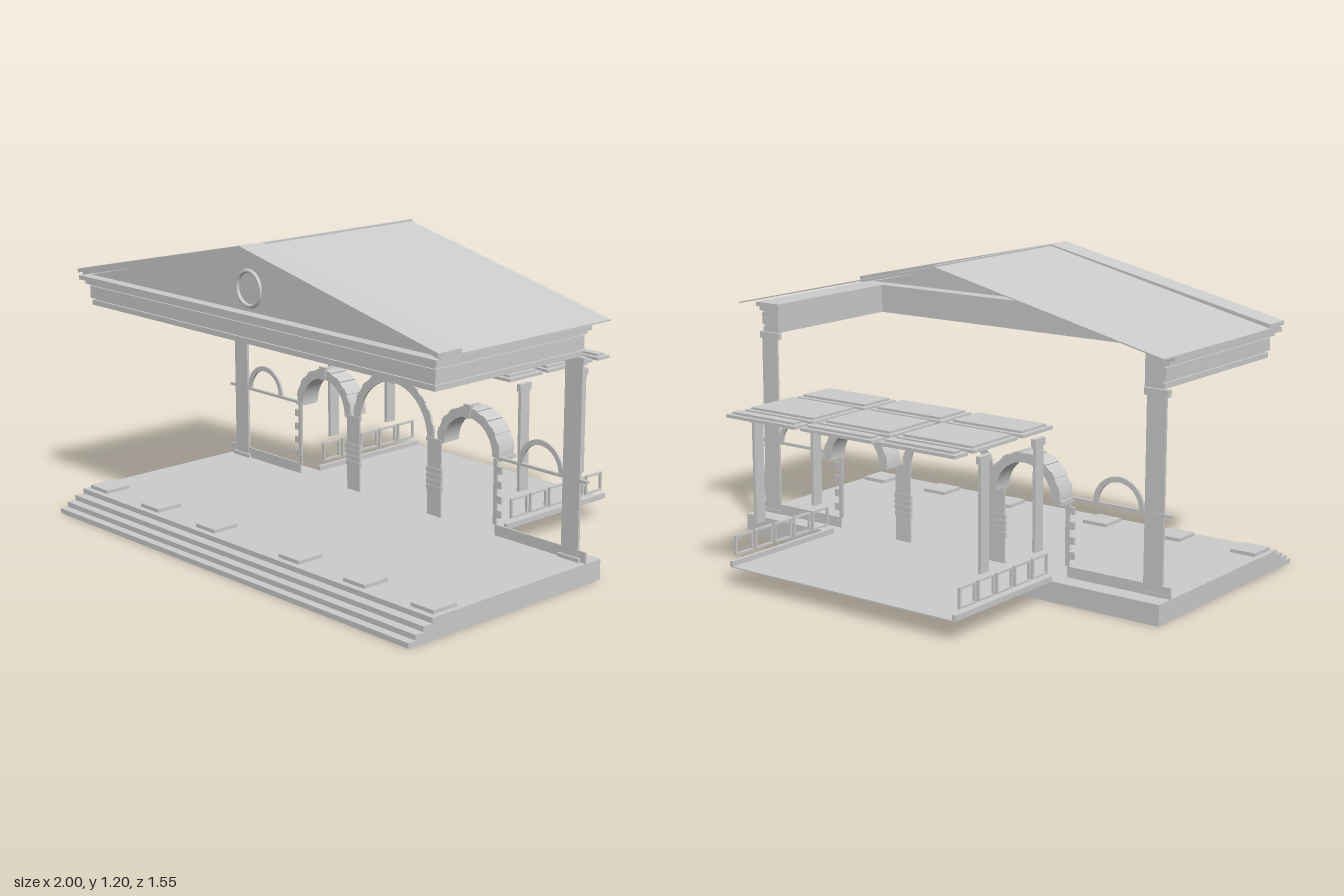
import * as THREE from 'three';

export function createModel() {
  const root = new THREE.Group();
  root.name = 'portico';
  const stone = new THREE.MeshStandardMaterial({ color: 0xcccccc, side: THREE.DoubleSide });
  stone.name = 'paleStone';

  const add = (name, geo, x = 0, y = 0, z = 0) => {
    const m = new THREE.Mesh(geo, stone);
    m.name = name;
    m.position.set(x, y, z);
    root.add(m);
    return m;
  };
  // Box given by its extents
  const box = (name, x0, x1, y0, y1, z0, z1) =>
    add(name, new THREE.BoxGeometry(Math.abs(x1 - x0), y1 - y0, z1 - z0), (x0 + x1) / 2, (y0 + y1) / 2, (z0 + z1) / 2);
  const both = (fn) => [-1, 1].forEach(fn);
  // Outline in x,y pushed along z
  const extrude = (name, pts, z0, z1) =>
    add(name, new THREE.ExtrudeGeometry(new THREE.Shape(pts.map((p) => new THREE.Vector2(...p))),
      { depth: z1 - z0, bevelEnabled: false }), 0, 0, z0);
  // Piece of a ring between two angles
  const ringPiece = (name, cx, cy, r0, r1, a0, a1, z0, z1, segs = 4) => {
    const s = new THREE.Shape();
    s.absarc(0, 0, r1, a0, a1, false);
    s.absarc(0, 0, r0, a1, a0, true);
    return add(name, new THREE.ExtrudeGeometry(s, { depth: z1 - z0, bevelEnabled: false, curveSegments: segs }), cx, cy, z0);
  };

  // Platform: steps and floor as one folded sheet, open underneath
  const prof = [[0.77, 0], [0.77, 0.02], [0.737, 0.02], [0.737, 0.04], [0.7, 0.04], [0.7, 0.06],
    [0.66, 0.06], [0.66, 0.08], [-0.2, 0.08], [-0.2, 0]];
  const W = 0.995;
  const pos = [];
  for (let i = 0; i < prof.length - 1; i++) {
    const [za, ya] = prof[i], [zb, yb] = prof[i + 1];
    pos.push(-W, ya, za, W, ya, za, W, yb, zb, -W, ya, za, W, yb, zb, -W, yb, zb);
  }
  const sheet = new THREE.BufferGeometry();
  sheet.setAttribute('position', new THREE.Float32BufferAttribute(pos, 3));
  sheet.computeVertexNormals();
  add('steppedPlatform', sheet);
  both((s) => {
    const side = new THREE.ShapeGeometry(new THREE.Shape(prof.map(([z, y]) => new THREE.Vector2(-s * z, y))));
    add('platformSide', side, s * W).rotation.y = s * Math.PI / 2;
  });

  // Rear floor with curbs and balustrade frames
  box('rearFloor', -0.53, 0.53, 0.076, 0.08, -0.775, -0.2);
  both((s) => {
    box('curb', s * 0.52, s * 0.535, 0.08, 0.1, -0.775, -0.2);
    for (let i = 0; i < 5; i++) {
      const z1 = -0.225 - i * 0.108, z0 = z1 - 0.094;
      const xs = [s * 0.525, s * 0.535], t = 0.008;
      box('railTop', ...xs, 0.186, 0.194, z0, z1);
      box('railBottom', ...xs, 0.116, 0.124, z0, z1);
      box('railPost', ...xs, 0.124, 0.186, z0, z0 + t);
      box('railPost', ...xs, 0.124, 0.186, z1 - t, z1);
    }
    for (const z of [-0.287, -0.612]) {
      box('rearPilaster', s * 0.525, s * 0.538, 0.215, 0.607, z - 0.024, z + 0.024);
      box('rearCapital', s * 0.522, s * 0.541, 0.607, 0.635, z - 0.031, z + 0.031);
    }
  });

  // Flat rear roof of stepped panels
  for (const [x0, x1] of [[-0.535, -0.193], [-0.168, 0.168], [0.193, 0.535]])
    for (const [z0, z1] of [[-0.387, -0.203], [-0.674, -0.415], [-0.776, -0.705]]) {
      box('roofPanel', x0, x1, 0.652, 0.664, z0, z1);
      box('roofPanelTop', x0 + 0.018, x1 - 0.018, 0.664, 0.673, z0 + 0.017, z1 - 0.017);
    }

  // Front column plinths
  for (const x of [0.24, 0.585, 0.92])
    both((s) => box('plinth', s * x - 0.055, s * x + 0.055, 0.08, 0.094, 0.522, 0.635));

  // Back wall: corner pilasters, baseboards, string courses, lunettes, quoins
  both((s) => {
    box('cornerPilaster', s * 0.88, s * 0.96, 0.08, 0.81, -0.124, -0.114);
    box('cornerCapital', s * 0.87, s * 0.97, 0.81, 0.836, -0.127, -0.106);
    box('cornerBase', s * 0.87, s * 0.97, 0.08, 0.095, -0.127, -0.106);
    box('baseboard', s * 0.55, s * 0.995, 0.08, 0.122, -0.124, -0.117);
    box('stringCourse', s * 0.565, s * 0.995, 0.378, 0.389, -0.126, -0.114);
    ringPiece('lunette', s * 0.77, 0.387, 0.088, 0.108, 0, Math.PI, -0.126, -0.116, 20);
    for (let i = 0; i < 9; i++)
      box('quoin', s * 0.54, s * (i % 2 ? 0.58 : 0.558), 0.122 + i * 0.0285, 0.122 + (i + 1) * 0.0285, -0.124, -0.116);
    box('impost', s * 0.54, s * 0.575, 0.37, 0.386, -0.2, -0.12);

    // Piers with banded lower blocks
    box('pier', s * 0.192, s * 0.264, 0.08, 0.38, -0.124, -0.117);
    for (let i = 0; i < 4; i++)
      box('pierBand', s * 0.188, s * 0.268, 0.18 + i * 0.024, 0.2 + i * 0.024, -0.126, -0.114);
    box('pierImpost', s * 0.187, s * 0.269, 0.376, 0.39, -0.126, -0.114);
  });

  // Arches built from voussoirs with a keystone
  const arch = (cx, cy, r0, r1, n, depth) => {
    for (let i = 0; i < n; i++) {
      const a = Math.PI / n;
      const out = i % 2 ? r1 : r1 - 0.004;
      ringPiece('voussoir', cx, cy, r0, out, i * a, (i + 1) * a, -0.12 - depth, -0.117, 3);
    }
    const k = r1 + 0.012;
    extrude('keystone', [[cx - 0.013, cy + r0 - 0.002], [cx + 0.013, cy + r0 - 0.002],
      [cx + 0.019, cy + k], [cx - 0.019, cy + k]], -0.124, -0.11);
  };
  arch(0, 0.378, 0.19, 0.228, 23, 0.006);
  both((s) => arch(s * 0.405, 0.382, 0.126, 0.165, 17, 0.08));

  // Entablature along the front and both sides
  const course = (name, y0, y1, x, z) => {
    box(name + 'Front', -x, x, y0, y1, 0.53, z);
    both((s) => box(name + 'Side', s * 0.87, s * x, y0, y1, -0.124, 0.53));
  };
  course('architrave', 0.838, 0.858, 0.952, 0.612);
  course('groove', 0.858, 0.866, 0.944, 0.604);
  course('frieze', 0.866, 0.914, 0.957, 0.617);
  course('friezeGroove', 0.914, 0.922, 0.95, 0.61);
  course('lowerCornice', 0.922, 0.938, 0.97, 0.63);
  course('upperCornice', 0.938, 0.955, 0.99, 0.645);

  // Pediment with its round moulding
  extrude('tympanum', [[-0.97, 0.955], [0.97, 0.955], [0, 1.178]], 0.592, 0.6);
  const ring = add('roundMoulding', new THREE.TorusGeometry(0.064, 0.008, 8, 32), 0, 1.04, 0.6);
  ring.scale.z = 1.2;

  // Raking cornices and thin gable roof
  const chevron = (name, half, eave, top, t, z0, z1) =>
    extrude(name, [[-half, eave], [0, top], [half, eave], [half, eave - t], [0, top - t], [-half, eave - t]], z0, z1);
  chevron('rakingCornice', 0.998, 0.98, 1.2, 0.016, 0.535, 0.645);
  chevron('rakingMoulding', 0.99, 0.966, 1.184, 0.012, 0.535, 0.628);
  chevron('gableRoof', 1, 0.964, 1.194, 0.005, -0.212, 0.535);
  box('ridge', -0.006, 0.006, 1.186, 1.199, -0.212, 0.535);

  return root;
}
